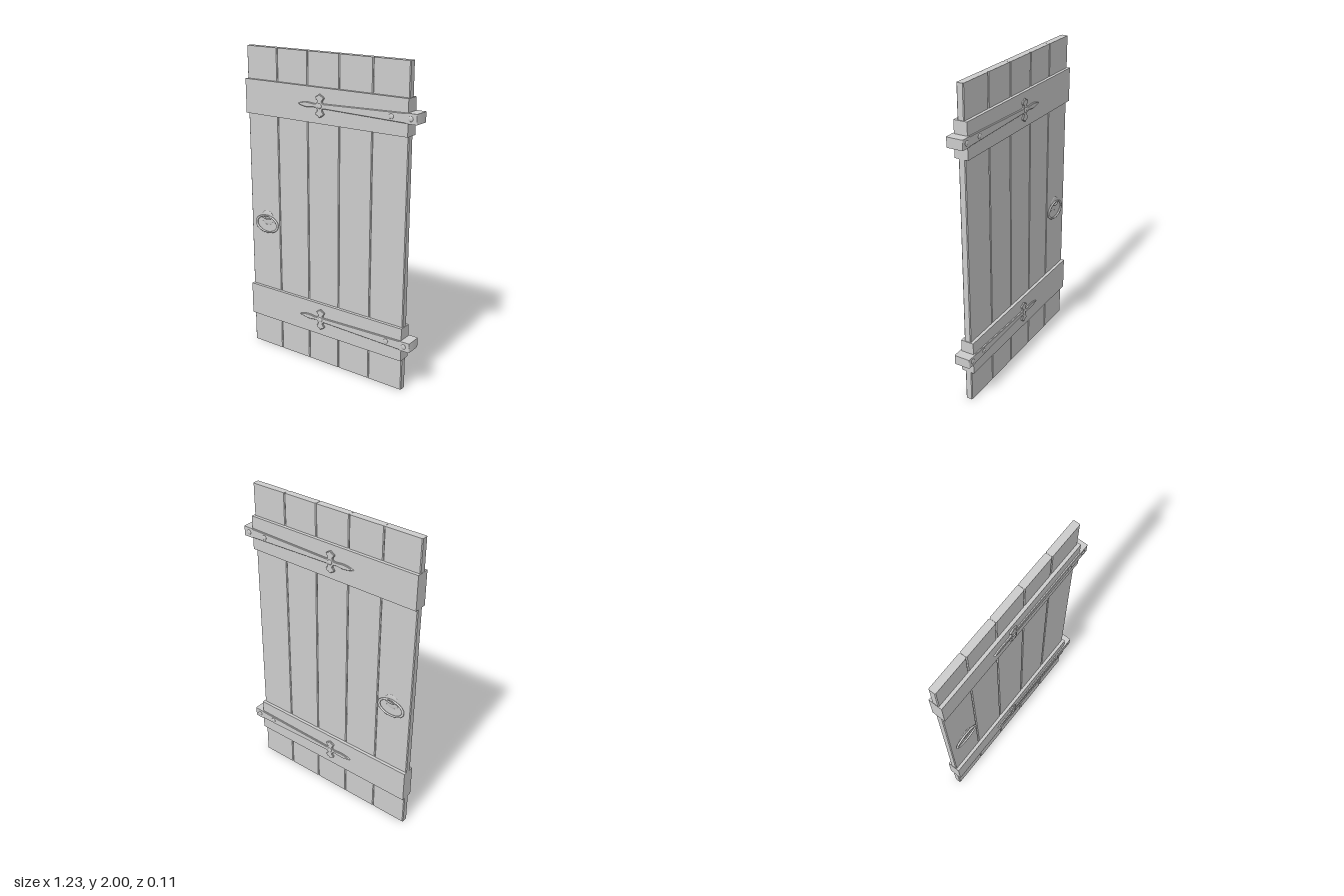
import * as THREE from 'three';
import { toCreasedNormals } from 'three/addons/utils/BufferGeometryUtils.js';

const gray = new THREE.MeshStandardMaterial({ color: 0xcccccc });
gray.name = 'plain gray';

function add(parent, geometry, name, x = 0, y = 0, z = 0) {
  const mesh = new THREE.Mesh(geometry, gray);
  mesh.name = name;
  mesh.position.set(x, y, z);
  parent.add(mesh);
  return mesh;
}

// Upright board with chamfered long edges
function plankGeometry(x0, x1) {
  const d = 0.022, c = 0.005, g = 0.0005;
  const a = x0 + g, b = x1 - g;
  const points = [[a + c, -d], [b - c, -d], [b, -d + c], [b, d - c],
    [b - c, d], [a + c, d], [a, d - c], [a, -d + c]];
  const shape = new THREE.Shape(points.map(([x, z]) => new THREE.Vector2(x, z)));
  return new THREE.ExtrudeGeometry(shape, { depth: 2, bevelEnabled: false }).rotateX(-Math.PI / 2);
}

// Tapered strap ending in a leaf point with two side lobes
function strapGeometry() {
  const s = new THREE.Shape();
  s.moveTo(0.56, -0.029);
  s.lineTo(0.56, 0.029);
  s.lineTo(-0.015, 0.015);
  s.bezierCurveTo(-0.028, 0.022, -0.026, 0.03, -0.016, 0.038);
  s.bezierCurveTo(-0.004, 0.052, -0.022, 0.06, -0.03, 0.061);
  s.quadraticCurveTo(-0.042, 0.078, -0.053, 0.061);
  s.bezierCurveTo(-0.062, 0.06, -0.079, 0.052, -0.067, 0.038);
  s.bezierCurveTo(-0.056, 0.03, -0.055, 0.022, -0.07, 0.012);
  s.bezierCurveTo(-0.105, 0.006, -0.13, 0.03, -0.205, 0);
  s.bezierCurveTo(-0.13, -0.03, -0.105, -0.006, -0.07, -0.012);
  s.bezierCurveTo(-0.055, -0.022, -0.056, -0.03, -0.067, -0.038);
  s.bezierCurveTo(-0.079, -0.052, -0.062, -0.06, -0.053, -0.061);
  s.quadraticCurveTo(-0.042, -0.078, -0.03, -0.061);
  s.bezierCurveTo(-0.022, -0.06, -0.004, -0.052, -0.016, -0.038);
  s.bezierCurveTo(-0.026, -0.03, -0.028, -0.022, -0.015, -0.015);
  s.closePath();
  return toCreasedNormals(new THREE.ExtrudeGeometry(s, {
    depth: 0.007, curveSegments: 8, bevelEnabled: true,
    bevelThickness: 0.003, bevelSize: 0.003, bevelOffset: -0.003, bevelSegments: 1,
  }), 0.6);
}

// Solid hinge end that joins the straps of both faces
function hingeEndGeometry() {
  const d = 0.052, r = 0.007, x0 = 0.545, x1 = 0.615;
  const s = new THREE.Shape();
  s.moveTo(x0, -d);
  s.lineTo(x1 - r, -d);
  s.quadraticCurveTo(x1, -d, x1, -d + r);
  s.lineTo(x1, d - r);
  s.quadraticCurveTo(x1, d, x1 - r, d);
  s.lineTo(x0, d);
  s.closePath();
  const g = new THREE.ExtrudeGeometry(s, { depth: 0.06, bevelEnabled: false, curveSegments: 5 });
  return toCreasedNormals(g.rotateX(-Math.PI / 2).translate(0, -0.03, 0), 0.6);
}

// Low domed nail head facing +z
function rivetGeometry() {
  return new THREE.SphereGeometry(0.016, 12, 4, 0, Math.PI * 2, 0, Math.PI / 2)
    .rotateX(Math.PI / 2).scale(1, 1, 0.36);
}

export function createModel() {
  const door = new THREE.Group();
  door.name = 'plankDoor';

  // Five upright boards
  const seams = [-0.618, -0.38, -0.15, 0.08, 0.31, 0.55];
  for (let i = 0; i < 5; i++) add(door, plankGeometry(seams[i], seams[i + 1]), 'plank');

  // Cross boards and hinges
  for (const [battenY, hingeY] of [[0.314, 0.315], [1.692, 1.692]]) {
    add(door, new THREE.BoxGeometry(1.173, 0.215, 0.084), 'crossBoard', -0.0325, battenY, 0);
    const hinge = new THREE.Group();
    hinge.name = 'hinge';
    hinge.position.y = hingeY;
    door.add(hinge);
    add(hinge, hingeEndGeometry(), 'hingeEnd');
    // The strap and rivets repeat on both faces
    for (const side of [1, -1]) {
      add(hinge, strapGeometry(), 'hingeStrap', 0, 0, side > 0 ? 0.042 : -0.049);
      for (const x of [-0.041, 0.452, 0.576]) {
        const rivet = add(hinge, rivetGeometry(), 'rivet', x, 0, side * 0.0515);
        if (side < 0) rivet.rotation.y = Math.PI;
      }
    }
  }

  // Oval pull ring with its plate and staple, on both faces
  for (const side of [1, -1]) {
    const handle = new THREE.Group();
    handle.name = 'ringHandle';
    handle.position.set(-0.485, 0, 0);
    if (side < 0) handle.rotation.y = Math.PI;
    door.add(handle);
    const plate = new THREE.SphereGeometry(0.05, 24, 4, 0, Math.PI * 2, 0, Math.PI / 2)
      .rotateX(Math.PI / 2).scale(1, 1, 0.1);
    add(handle, plate, 'handlePlate', 0, 0.908, 0.021);
    const ring = new THREE.TorusGeometry(0.086, 0.009, 8, 40).scale(1, 0.64, 0.7);
    add(handle, ring, 'pullRing', 0, 0.867, 0.03);
    const staple = new THREE.TorusGeometry(0.031, 0.008, 8, 20).scale(1, 0.38, 0.8);
    add(handle, staple, 'staple', 0, 0.913, 0.03);
  }
  return door;
}
